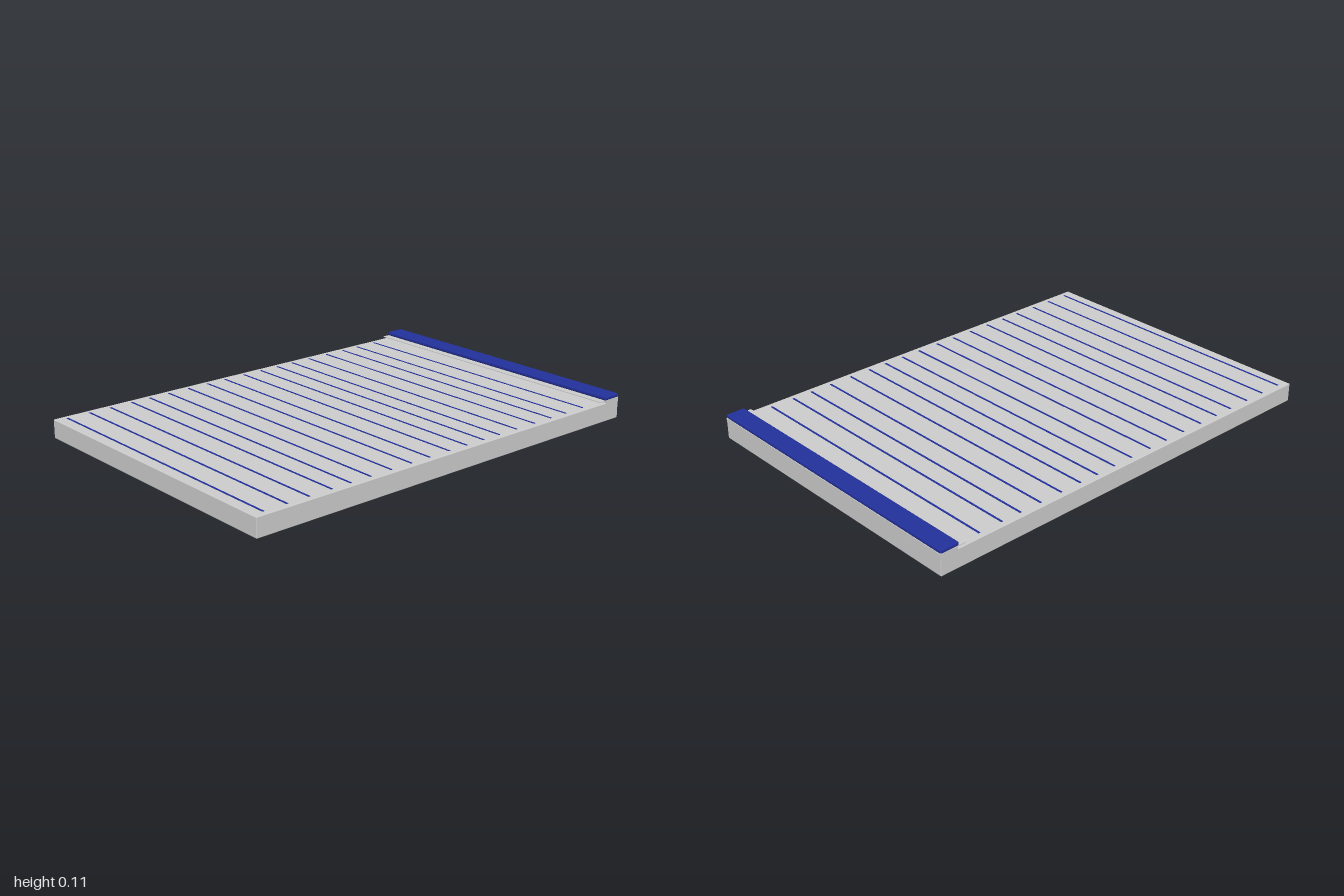
import * as THREE from 'three';
import { RoundedBoxGeometry } from 'three/addons/geometries/RoundedBoxGeometry.js';

export function createModel() {
  const root = new THREE.Group();
  root.name = 'notepad';
  const grey = new THREE.MeshStandardMaterial({ color: 0xcccccc });
  const blue = new THREE.MeshStandardMaterial({ color: 0x22309a });
  const W = 1.916, D = 1.328, half = W / 2;

  // Box given by its x range, y range and depth
  function slab(name, x0, x1, y0, y1, depth, material, radius = 0) {
    const size = [x1 - x0, y1 - y0, depth];
    const geometry = radius
      ? new RoundedBoxGeometry(...size, 3, radius)
      : new THREE.BoxGeometry(...size);
    const mesh = new THREE.Mesh(geometry, material);
    mesh.position.set((x0 + x1) / 2, (y0 + y1) / 2, 0);
    mesh.name = name;
    root.add(mesh);
  }

  // Stack of pages
  slab('pageStack', -half, half, 0, 0.08, D, grey, 0.003);

  // Raised spine, with the thin torn-off edge of a page sticking out
  slab('spine', 0.88, half, 0.07, 0.091, D, grey);
  slab('tornPageEdge', 0.844, half - 0.002, 0.088, 0.091, D - 0.004, grey);

  // Binding tape along the spine
  slab('bindingTape', 0.874, half, 0.09, 0.108, D, blue, 0.007);

  // Hand-ruled lines, slightly uneven in spacing
  const lines = [-0.908, -0.804, -0.705, -0.601, -0.512, -0.416, -0.314, -0.213, -0.119,
    -0.015, 0.079, 0.172, 0.26, 0.359, 0.464, 0.563, 0.653, 0.76];
  for (const x of lines) slab('ruledLine', x - 0.0045, x + 0.0045, 0.079, 0.081, 1.28, blue);

  // The pad lies slightly turned
  root.rotation.y = -0.063;
  const model = new THREE.Group();
  model.add(root);
  return model;
}
